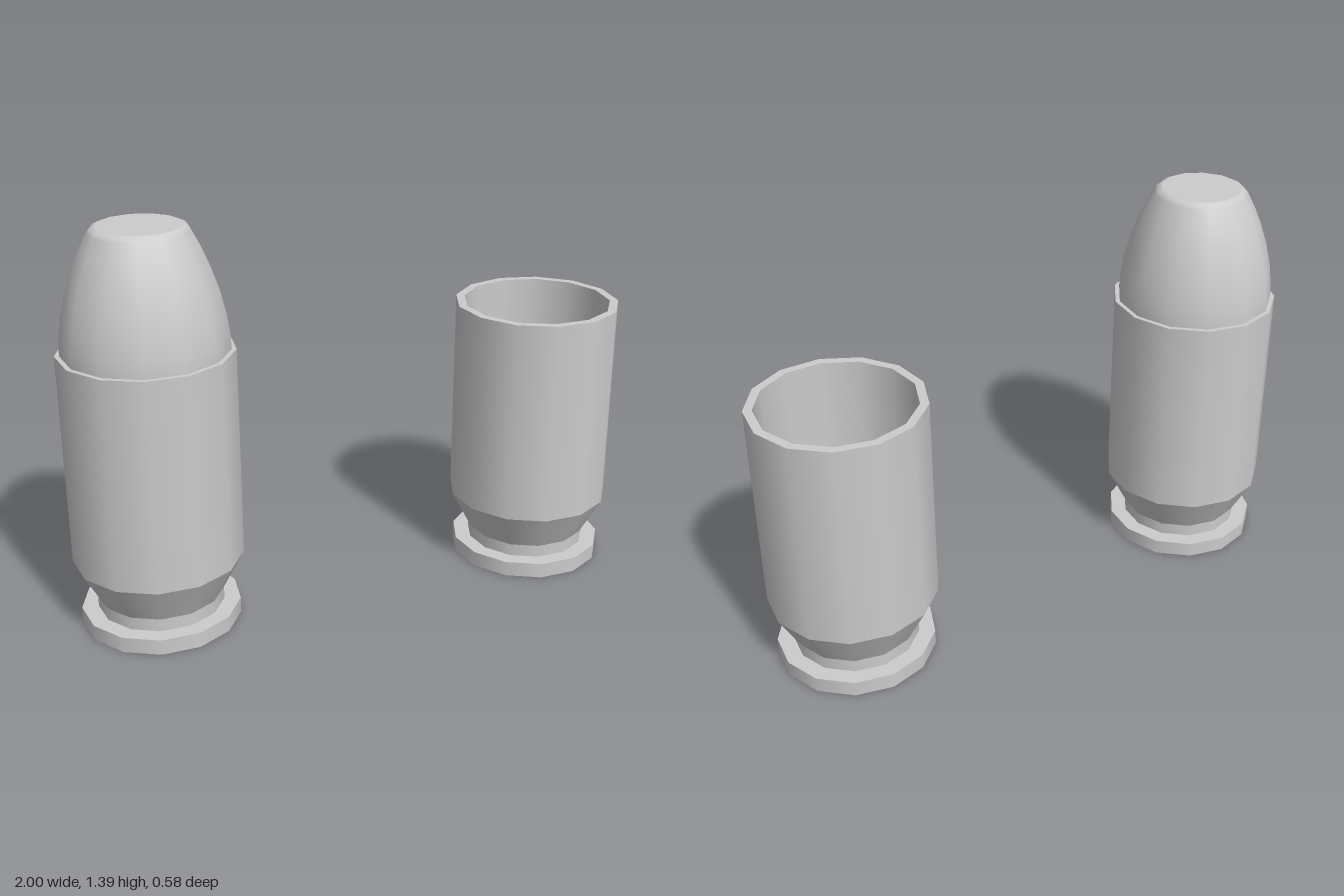
import * as THREE from 'three';
import { mergeGeometries } from 'three/addons/utils/BufferGeometryUtils.js';

const SIDES = 13;
const material = new THREE.MeshStandardMaterial({ color: 0xcccccc });

// Turned part: each strip of [radius, y] points is smooth, with a sharp edge between strips
function turned(name, strips) {
  const parts = strips.map(strip => new THREE.LatheGeometry(
    strip.map(([r, y]) => new THREE.Vector2(r, y)), SIDES, Math.PI, Math.PI * 2));
  const mesh = new THREE.Mesh(mergeGeometries(parts), material);
  mesh.name = name;
  return mesh;
}

// Every pair of neighbouring points becomes its own sharp-edged strip
const sharp = points => points.slice(1).map((p, i) => [points[i], p]);

// Hollow case: base, rim, extractor groove, taper, wall, mouth, bore and floor
function createCase() {
  return turned('case', sharp([
    [0, 0], [0.275, 0], [0.275, 0.055], [0.218, 0.055], [0.218, 0.1],
    [0.292, 0.24], [0.292, 0.98], [0.262, 0.98], [0.262, 0.24], [0, 0.24],
  ]));
}

// Rounded nose with a flat tip, seated in the mouth of the case
function createBullet() {
  return turned('bullet', [
    [[0, 0.9], [0.276, 0.9]],
    [[0.276, 0.9], [0.276, 0.98], [0.274, 1.03], [0.264, 1.1], [0.245, 1.18],
      [0.218, 1.26], [0.192, 1.32], [0.163, 1.375], [0.154, 1.386], [0.14, 1.392]],
    [[0.14, 1.392], [0, 1.392]],
  ]);
}

export function createModel() {
  const model = new THREE.Group();

  const loadedRound = new THREE.Group();
  loadedRound.name = 'loadedRound';
  loadedRound.add(createCase(), createBullet());
  loadedRound.position.set(-0.71, 0, 0.004);

  const emptyCase = createCase();
  emptyCase.name = 'emptyCase';
  emptyCase.position.set(0.71, 0, 0.004);

  model.add(loadedRound, emptyCase);
  return model;
}
